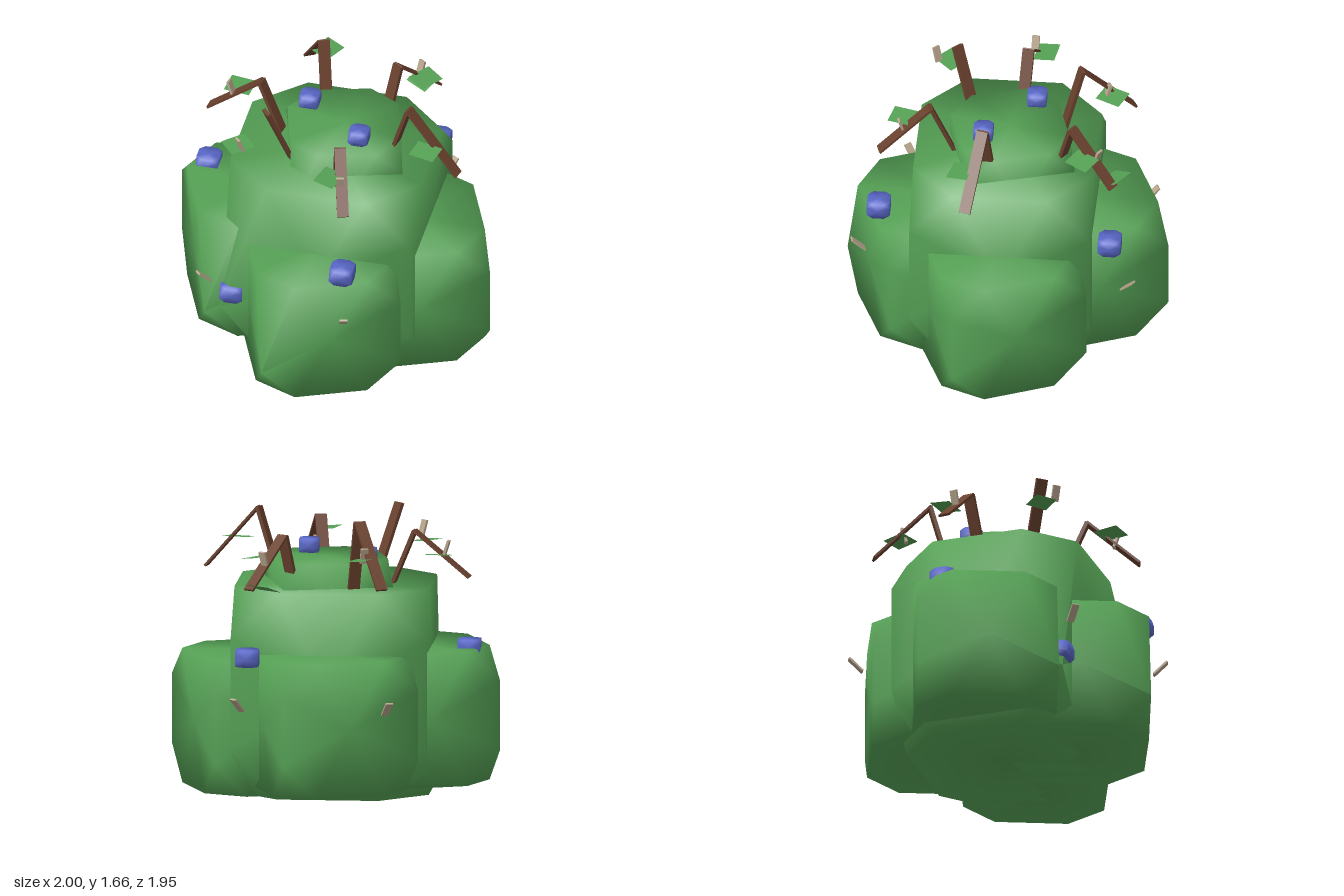
import * as THREE from 'three';

const mat = (name, color, side = THREE.FrontSide) => {
  const m = new THREE.MeshStandardMaterial({ color, side });
  m.name = name;
  return m;
};

// Box with cut corners and smooth normals; the upper front corner at -x has a long cut.
function cutBox(w, h, d) {
  const size = [w, h, d], pos = [], index = [], corners = [];
  for (const x of [-1, 1]) for (const y of [-1, 1]) for (const z of [-1, 1]) corners.push([x, y, z]);
  corners.forEach((s) => {
    const tall = s[0] < 0 && s[1] > 0 && s[2] > 0;
    const cut = [0.24, tall ? 0.75 : s[1] > 0 ? 0.22 : 0.25, 0.24];
    for (let k = 0; k < 3; k++) {
      pos.push(...s.map((v, i) => v * size[i] * (i === k ? 0.5 - cut[k] : 0.5)));
    }
  });
  // corner facets
  corners.forEach((s, i) => {
    const a = i * 3;
    if (s[0] * s[1] * s[2] > 0) index.push(a, a + 1, a + 2);
    else index.push(a, a + 2, a + 1);
  });
  // eight-sided faces, fanned from their centres
  for (let k = 0; k < 3; k++) for (const sign of [-1, 1]) {
    const u = (k + 1) % 3, v = (k + 2) % 3, ring = [];
    corners.forEach((s, i) => { if (s[k] === sign) ring.push(i * 3 + u, i * 3 + v); });
    const angle = (i) => Math.atan2(pos[i * 3 + v] / size[v], pos[i * 3 + u] / size[u]) * sign;
    ring.sort((a, b) => angle(a) - angle(b));
    const c = pos.length / 3;
    pos.push(...[0, 1, 2].map((i) => (i === k ? sign * size[k] / 2 : 0)));
    ring.forEach((a, i) => index.push(c, a, ring[(i + 1) % 8]));
  }
  const g = new THREE.BufferGeometry();
  g.setAttribute('position', new THREE.Float32BufferAttribute(pos, 3));
  g.setIndex(index);
  g.computeVertexNormals();
  return g;
}

export function createModel() {
  const model = new THREE.Group();
  model.name = 'bush';
  const green = mat('leaf green', 0x55a055);
  const leafGreen = green.clone();
  leafGreen.side = THREE.DoubleSide;
  const brown = mat('bark brown', 0x6a412e);
  const tan = mat('twig tan', 0xb8a68e);
  const blue = mat('berry blue', 0x5a68c8);

  const add = (name, geo, material, p, ry = 0) => {
    const m = new THREE.Mesh(geo, material);
    m.name = name;
    m.position.set(...p);
    m.rotation.y = ry;
    model.add(m);
    return m;
  };

  // flat beam between two points, its wide side kept horizontal
  const beam = (name, material, a, b, width, thick) => {
    const p = new THREE.Vector3(...a), q = new THREE.Vector3(...b);
    const dir = q.clone().sub(p), len = dir.length();
    dir.normalize();
    const side = new THREE.Vector3(0, 1, 0).cross(dir).normalize();
    const m = add(name, new THREE.BoxGeometry(width, len, thick), material,
      p.add(q).multiplyScalar(0.5).toArray());
    m.quaternion.setFromRotationMatrix(new THREE.Matrix4().makeBasis(side, dir, side.clone().cross(dir)));
  };

  // foliage
  add('centralFoliage', cutBox(1.16, 1.24, 1.075), green, [0, 0.62, 0]);
  const clump = cutBox(0.84, 0.81, 0.84), turn = Math.PI / 8;
  add('frontFoliage', clump, green, [0, 0.405, 0.425], turn);
  add('leftFoliage', clump, green, [0.45, 0.405, 0.02], turn);
  add('backFoliage', clump, green, [0, 0.465, -0.43], turn);
  add('rightFoliage', clump, green, [-0.45, 0.465, 0], turn);
  add('topFoliage', cutBox(0.66, 0.64, 0.65), green, [0.045, 1.07, -0.02], 0.28);

  // branches: base, peak, drooping tip
  const branches = [
    [[-0.13, 1.2, -0.31], [-0.18, 1.66, -0.43], [-0.34, 1.3, -0.73]],
    [[0.22, 1.22, -0.32], [0.28, 1.57, -0.41], [0.46, 1.28, -0.67]],
    [[-0.34, 1.22, -0.06], [-0.48, 1.56, -0.085], [-0.81, 1.29, -0.13]],
    [[0.36, 1.3, 0.08], [0.47, 1.66, 0.11], [0.79, 1.29, 0.19]],
    [[0.09, 1.22, 0.31], [0.13, 1.56, 0.45], [0.22, 1.29, 0.75]],
    [[-0.22, 1.24, 0.21], [-0.35, 1.66, 0.33]],
  ];
  branches.forEach(([base, peak, tip]) => {
    beam('branch', brown, base, peak, 0.07, 0.022);
    if (tip) beam('droopingBranch', brown, peak, tip, 0.07, 0.014);
  });

  // loose leaves: position, turn, tilt
  const leafGeo = new THREE.PlaneGeometry(0.16, 0.13).rotateX(-Math.PI / 2);
  [
    [-0.2, 1.46, -0.61, 1.1, 0.12], [0.43, 1.45, -0.48, 0.95, 0.15],
    [0.37, 1.29, -0.67, -0.6, 0.35], [-0.63, 1.43, -0.18, -0.15, 0.12],
    [0.6, 1.46, 0.23, -0.25, 0.1], [0.1, 1.46, 0.61, 1.3, 0.12],
    [-0.51, 1.43, 0.38, 0.75, 0.1],
  ].forEach(([x, y, z, ry, tilt]) => {
    const leaf = add('leaf', leafGeo, leafGreen, [x, y, z]);
    leaf.rotation.set(tilt, ry, 0, 'YXZ');
  });

  // small upright twigs beside the branches
  [[-0.22, 1.48, -0.58], [0.38, 1.45, -0.57], [-0.67, 1.46, -0.11], [0.17, 1.44, 0.62], [-0.48, 1.49, 0.46]]
    .forEach(([x, y, z]) => {
      const r = Math.hypot(x, z), dx = x / r * 0.015, dz = z / r * 0.015;
      beam('smallTwig', tan, [x - dx, y - 0.045, z - dz], [x + dx, y + 0.045, z + dz], 0.045, 0.015);
    });

  // twigs poking out of the outer clumps
  [[-0.38, -0.83], [0.52, -0.76], [-0.66, 0.63], [0.25, 0.87]].forEach(([x, z]) => {
    const r = Math.hypot(x, z), dx = x / r * 0.04, dz = z / r * 0.04;
    beam('outerTwig', tan, [x - dx, 0.56, z - dz], [x + dx, 0.64, z + dz], 0.045, 0.012);
  });

  // berries
  const berry = cutBox(0.135, 0.1, 0.135);
  [[-0.81, 0.87, -0.13], [0.47, 0.87, -0.65], [0.215, 0.87, 0.75], [-0.515, 0.425, 0.5],
    [-0.2, 1.42, -0.16], [0.17, 1.43, 0.13]].forEach((p, i) => {
    const m = add('berry', berry, blue, p);
    if (i > 3) m.scale.set(0.85, 0.85, 0.85);
  });

  return model;
}
